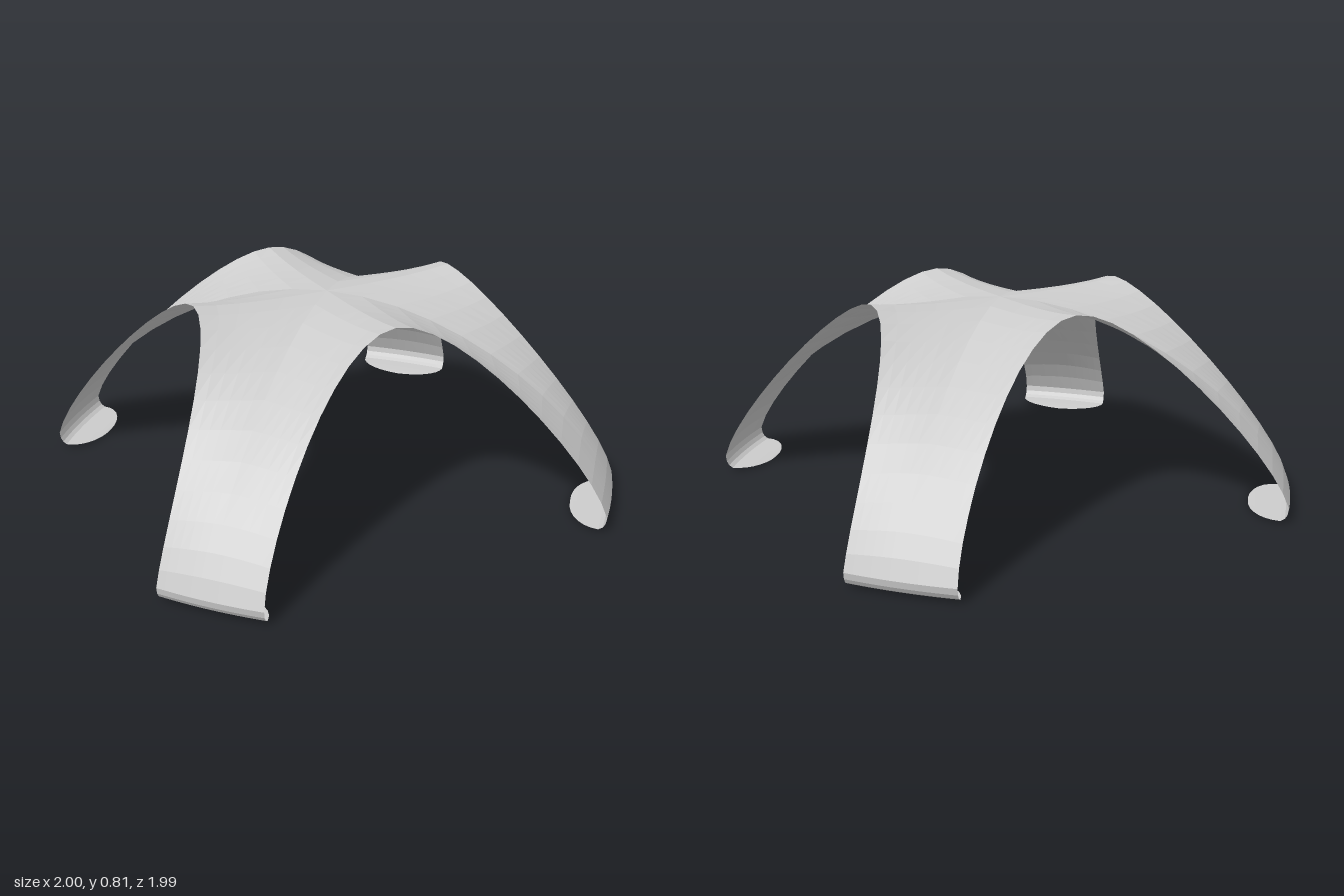
import * as THREE from 'three';

const HALF = 6;   // facets from the leg middle to one edge
const ROWS = 12;  // facets from the crown seam to the foot
const CURL = 7;   // facets along the foot pad

// Smooth blend: edge A (w = 1), middle (w = 0), edge B (w = -1)
function across(a, mid, b, w) {
  return mid.clone().multiplyScalar(1 - w * w)
    .addScaledVector(a, (w * w + w) / 2)
    .addScaledVector(b, (w * w - w) / 2);
}

// One quarter of the canopy: crown corner, leg and turned-in foot
function quarter(sx, sz, skew) {
  const v = (x, y, z) => new THREE.Vector3(x, y, z);
  const dx = 0.04 * skew, dz = -0.03 * skew;
  const inward = v(-Math.SQRT1_2, 0, -Math.SQRT1_2);
  const tipA = v(0.96 + dx, 0.06, 0.69 + dz), tipB = v(0.69 + dx, 0.06, 0.995 + dz);
  const tipMid = tipA.clone().lerp(tipB, 0.5).addScaledVector(inward, -0.01);

  // Long curve of the shell at position w across the leg
  const strip = (w) => {
    const r = Math.abs(w);
    // Crown seam: nearly level, rising to the rim
    const y = 0.779 + 0.028 * r ** 3;
    const p0 = w > 0 ? v(0.57 * r, y, 0) : v(0, y, 0.55 * r);
    const p1 = across(v(0.57, 0, 0.27), v(0.42, 0, 0.42), v(0.27, 0, 0.55), w).setY(y);
    const p2 = across(v(0.915, 0.27, 0.655), v(0.78, 0.32, 0.78), v(0.655, 0.27, 0.93), w);
    p2.x += dx * 0.9;
    p2.z += dz * 0.9;
    return new THREE.CubicBezierCurve3(p0, p1, p2, across(tipA, tipMid, tipB, w));
  };

  const cols = HALF * 2 + 1;
  const curves = Array.from({ length: cols }, (_, j) => strip(1 - j / HALF));
  const rows = [];
  for (let i = 0; i <= ROWS; i++) rows.push(curves.map((c) => c.getPoint(i / ROWS)));

  // Rolled lower edge, then a rounded pad lying on the ground
  const tips = rows[ROWS];
  for (const [s, y] of [[0.004, 0.035], [0.014, 0.018], [0.03, 0.008]]) {
    rows.push(tips.map((p) => p.clone().addScaledVector(inward, s).setY(y)));
  }
  for (let i = 1; i <= CURL; i++) {
    const a = (i / CURL) * Math.PI / 2;
    rows.push(tips.map((p) => tipMid.clone().lerp(p, Math.cos(a))
      .addScaledVector(inward, 0.03 + 0.13 * Math.sin(a)).setY(0.008 * Math.cos(a))));
  }

  const pos = [], idx = [];
  rows.forEach((row) => row.forEach((p) => pos.push(p.x * sx, p.y, p.z * sz)));
  for (let i = 0; i < rows.length - 1; i++) {
    for (let j = 0; j < cols - 1; j++) {
      const a = i * cols + j, b = a + 1, c = a + cols, d = c + 1;
      // Mirrored quarters need the opposite corner order
      if (sx * sz > 0) idx.push(a, b, c, b, d, c);
      else idx.push(a, c, b, b, c, d);
    }
  }
  const geo = new THREE.BufferGeometry();
  geo.setAttribute('position', new THREE.Float32BufferAttribute(pos, 3));
  geo.setIndex(idx);
  geo.computeVertexNormals();
  return geo;
}

export function createModel() {
  const group = new THREE.Group();
  group.name = 'fourLeggedCanopy';
  const material = new THREE.MeshStandardMaterial({
    color: 0xcccccc, flatShading: true, side: THREE.DoubleSide,
  });
  // Two opposite legs sit slightly askew of the diagonal
  const legs = [
    ['frontLeftLeg', 1, 1, 0], ['backRightLeg', -1, -1, 0],
    ['backLeftLeg', 1, -1, 1], ['frontRightLeg', -1, 1, 1],
  ];
  for (const [name, sx, sz, skew] of legs) {
    const mesh = new THREE.Mesh(quarter(sx, sz, skew), material);
    mesh.name = name;
    group.add(mesh);
  }
  return group;
}
